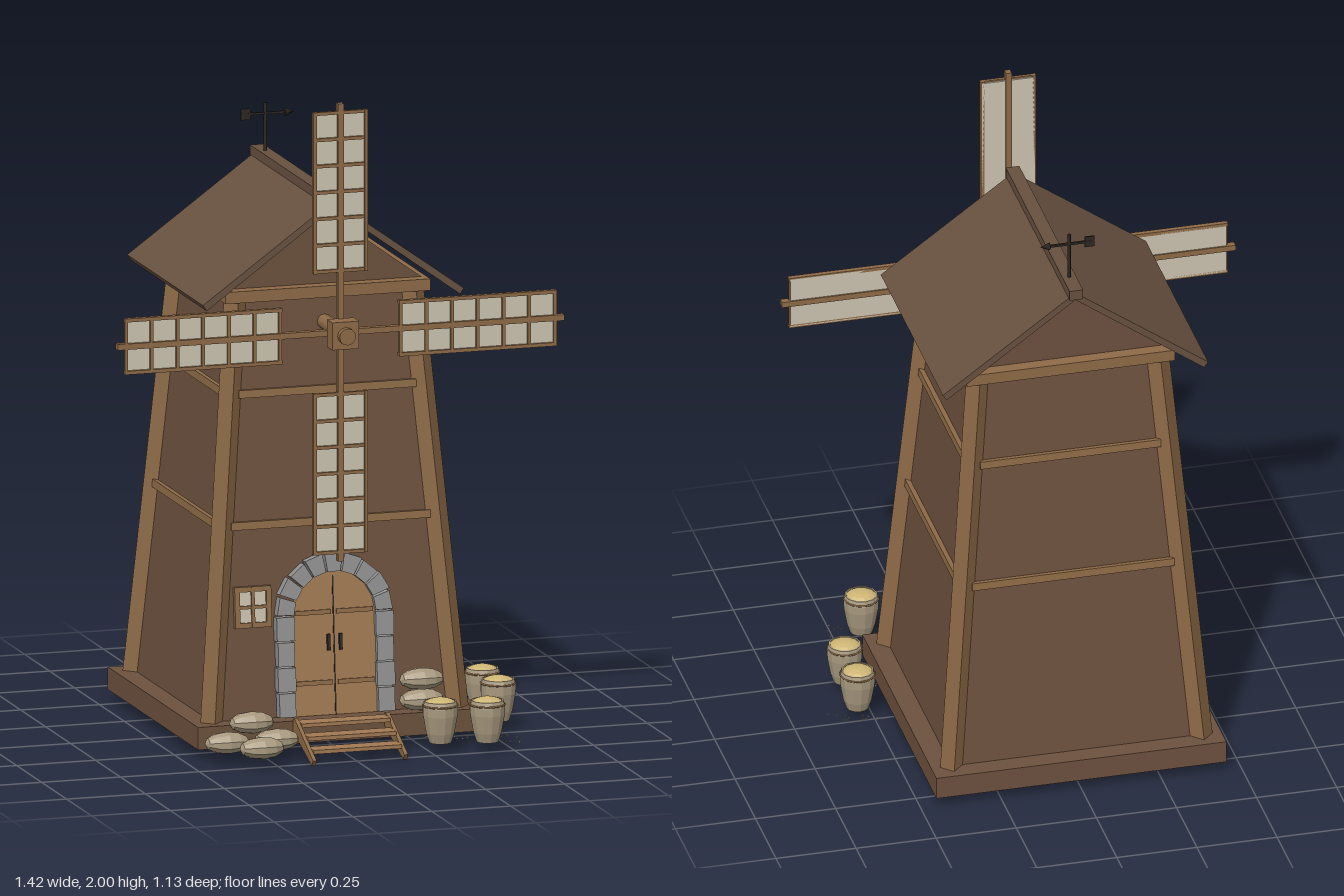
import * as THREE from 'three';

const mat = (name, color) => {
  const m = new THREE.MeshStandardMaterial({ color });
  m.name = name;
  return m;
};

export function createModel() {
  const wall = mat('wallBoards', 0x6d513e);
  const roofMat = mat('roofBoards', 0x685140);
  const timber = mat('timber', 0x8f6b47);
  const doorMat = mat('doorWood', 0xa27a53);
  const cloth = mat('sailCloth', 0xcdc5b2);
  const stone = mat('stone', 0x929292);
  const iron = mat('iron', 0x2c2722);
  const sackMat = mat('sackCloth', 0xa99a80);
  const grain = mat('grain', 0xcdb574);
  [sackMat, grain, stone].forEach(m => { m.flatShading = true; });

  const model = new THREE.Group();
  model.name = 'windmill';
  const add = (parent, name, geo, material, x = 0, y = 0, z = 0) => {
    const m = new THREE.Mesh(geo, material);
    m.name = name;
    m.position.set(x, y, z);
    parent.add(m);
    return m;
  };
  const box = (parent, name, material, w, h, d, x, y, z) =>
    add(parent, name, new THREE.BoxGeometry(w, h, d), material, x, y, z);
  const group = (parent, name, x = 0, y = 0, z = 0) => {
    const g = new THREE.Group();
    g.name = name;
    g.position.set(x, y, z);
    parent.add(g);
    return g;
  };
  const extrude = (shape, depth) =>
    new THREE.ExtrudeGeometry(shape, { depth, bevelEnabled: false, curveSegments: 16 });
  const polygon = pts => new THREE.Shape(pts.map(p => new THREE.Vector2(...p)));

  // Tower: tapered square body on a plinth
  const Y0 = 0.1, Y1 = 1.39, B = 0.39, T = 0.281;
  const half = y => B + (T - B) * (y - Y0) / (Y1 - Y0);
  const lean = Math.atan((B - T) / (Y1 - Y0));
  const tower = group(model, 'tower', 0, 0, -0.115);
  box(tower, 'plinth', wall, 0.905, 0.07, 0.905, 0, 0.065, 0);
  const bodyGeo = new THREE.CylinderGeometry(T * Math.SQRT2, B * Math.SQRT2, Y1 - Y0, 4)
    .rotateY(Math.PI / 4).toNonIndexed();
  bodyGeo.computeVertexNormals();
  add(tower, 'body', bodyGeo, wall, 0, (Y0 + Y1) / 2, 0);

  // Leaning corner posts with diamond section
  for (const sx of [-1, 1]) for (const sz of [-1, 1]) {
    const geo = new THREE.CylinderGeometry(0.035, 0.035, Y1 - Y0, 4).toNonIndexed();
    geo.computeVertexNormals();
    const p = geo.attributes.position;
    for (let i = 0; i < p.count; i++) {
      const h = half(p.getY(i) + (Y0 + Y1) / 2);
      p.setX(i, p.getX(i) + sx * h);
      p.setZ(i, p.getZ(i) + sz * h);
    }
    add(tower, 'cornerPost', geo, timber, 0, (Y0 + Y1) / 2, 0);
  }

  // Horizontal rails and top beams on all four sides
  for (let i = 0; i < 4; i++) {
    const side = group(tower, 'sideRails');
    side.rotation.y = i * Math.PI / 2;
    for (const y of [0.69, 1.09]) {
      const r = box(side, 'rail', timber, 2 * half(y) - 0.05, 0.024, 0.03, 0, y, half(y));
      r.rotation.x = -lean;
    }
    box(side, 'topBeam', timber, 0.65, 0.036, 0.05, 0, 1.393, 0.3);
  }

  // Gable block, roof and ridge
  add(tower, 'gable', extrude(polygon([[-0.31, 1.41], [0.31, 1.41], [0, 1.635]]), 0.57), wall, 0, 0, -0.285);
  const chevron = polygon([[0.402, 1.37], [0.414, 1.388], [0, 1.686], [-0.414, 1.388], [-0.402, 1.37], [0, 1.662]]);
  add(tower, 'roof', extrude(chevron, 0.76), roofMat, 0, 0, -0.38);
  box(tower, 'ridgeBeam', roofMat, 0.042, 0.032, 0.78, 0, 1.684, 0);

  // Weather vane
  const vane = group(model, 'weatherVane', 0, 0, -0.418);
  add(vane, 'pole', new THREE.CylinderGeometry(0.005, 0.005, 0.16, 8), iron, 0, 1.768, 0);
  box(vane, 'arm', iron, 0.14, 0.007, 0.007, 0, 1.815, 0);
  box(vane, 'tail', iron, 0.03, 0.035, 0.005, -0.063, 1.815, 0);
  add(vane, 'arrowHead', new THREE.ConeGeometry(0.014, 0.03, 4).rotateZ(-Math.PI / 2), iron, 0.076, 1.815, 0);

  // Wind shaft and hub
  const rotor = group(model, 'rotor', 0, 1.293, 0.33);
  const rod = (r, l) => new THREE.CylinderGeometry(r, r, l, 12).rotateX(Math.PI / 2);
  add(rotor, 'shaft', rod(0.023, 0.2), timber, 0, 0, -0.09);
  box(rotor, 'hub', timber, 0.085, 0.085, 0.055, 0, 0, 0.031);
  add(rotor, 'hubCap', rod(0.026, 0.022), timber, 0, 0, 0.068);

  // Four lattice sails
  for (let i = 0; i < 4; i++) {
    const sail = group(rotor, 'sail');
    sail.rotation.z = i * Math.PI / 2;
    box(sail, 'spar', timber, 0.018, 0.708, 0.022, 0, 0.354, 0);
    box(sail, 'cloth', cloth, 0.164, 0.49, 0.006, 0, 0.435, -0.003);
    for (const x of [-0.081, 0, 0.081])
      box(sail, 'longBar', timber, 0.011, 0.5, 0.016, x, 0.435, 0.002);
    for (let k = 0; k < 7; k++)
      box(sail, 'crossBar', timber, 0.172, 0.01, 0.01, 0, 0.191 + k * 0.0815, 0.004);
  }

  // Front wall group leaning with the tower
  const front = group(model, 'frontWall', 0, Y0, -0.115 + B);
  front.rotation.x = -lean;
  const door = group(front, 'door');
  const leaf = new THREE.Shape();
  leaf.moveTo(-0.133, 0);
  leaf.lineTo(0.133, 0);
  leaf.lineTo(0.133, 0.31);
  leaf.absarc(0, 0.31, 0.133, 0, Math.PI, false);
  add(door, 'doorLeaf', extrude(leaf, 0.025), doorMat, 0, 0, -0.01);
  box(door, 'doorGap', iron, 0.004, 0.425, 0.004, 0, 0.2125, 0.015);
  for (const s of [-1, 1]) {
    box(door, 'handle', iron, 0.009, 0.05, 0.012, s * 0.019, 0.222, 0.02);
    for (const y of [0.1, 0.315]) box(door, 'doorStrap', timber, 0.115, 0.014, 0.007, s * 0.066, y, 0.017);
  }

  // Stone surround: jamb blocks and arch wedges
  for (const s of [-1, 1]) for (let k = 0; k < 4; k++)
    box(door, 'jambStone', stone, 0.052 + (k % 2) * 0.005, 0.073, 0.05, s * 0.157, 0.0385 + k * 0.0775, 0.008);
  for (let k = 0; k < 9; k++) {
    const a = k * Math.PI / 9 + 0.02, b = (k + 1) * Math.PI / 9 - 0.02;
    const R = 0.183 + (k % 2) * 0.004;
    const c = (r, t) => [r * Math.cos(t), 0.31 + r * Math.sin(t)];
    add(door, 'archStone', extrude(polygon([c(0.13, a), c(R, a), c(R, b), c(0.13, b)]), 0.05), stone, 0, 0, -0.017);
  }

  // Small window
  const win = group(front, 'window', -0.253, 0.343, 0);
  box(win, 'windowPanes', cloth, 0.1, 0.11, 0.008, 0, 0, 0.004);
  for (const k of [-1, 0, 1]) {
    box(win, 'windowUpright', timber, k ? 0.016 : 0.01, 0.126, 0.024, k * 0.05, 0, 0.004);
    box(win, 'windowCrossbar', timber, 0.116, k ? 0.016 : 0.01, 0.022, 0, k * 0.055, 0.004);
  }

  // Steps with slanted stringers
  const steps = group(model, 'steps');
  const stringer = polygon([[0.335, 0.108], [0.355, 0.108], [0.537, 0.018], [0.525, 0.0], [0.335, 0.068]]);
  for (const s of [-1, 1])
    add(steps, 'stringer', extrude(stringer, 0.012).rotateY(-Math.PI / 2), timber, s * 0.145 + 0.006, 0, 0);
  for (let k = 0; k < 3; k++)
    box(steps, 'tread', doorMat, 0.28, 0.012, 0.058, 0, 0.096 - k * 0.029, 0.365 + k * 0.058);

  // Lying sacks
  const sackGeo = new THREE.SphereGeometry(1, 10, 6).rotateZ(Math.PI / 2).scale(0.07, 0.034, 0.049);
  for (const [x, y, z] of [[-0.385, 0.064, 0.415], [-0.228, 0.064, 0.415], [-0.307, 0.064, 0.517],
    [-0.307, 0.122, 0.415], [0.265, 0.134, 0.31], [0.265, 0.198, 0.31]])
    add(model, 'lyingSack', sackGeo, sackMat, x, y, z);

  // Open grain sacks and spilled grains
  let seed = 7;
  const rand = () => (seed = (seed * 16807) % 2147483647) / 2147483647;
  const potGeo = new THREE.LatheGeometry([[0, 0], [0.034, 0], [0.044, 0.03], [0.054, 0.085], [0.055, 0.11],
    [0.05, 0.128], [0.045, 0.128], [0.045, 0.115]].map(p => new THREE.Vector2(...p)), 12);
  const domeGeo = new THREE.SphereGeometry(0.048, 12, 4, 0, Math.PI * 2, 0, Math.PI / 2).scale(1, 0.4, 1);
  const speckGeo = new THREE.TetrahedronGeometry(0.0035);
  for (const [x, z, a] of [[0.545, 0.035, 1.2], [0.543, 0.2, 2.2], [0.28, 0.45, 1.0], [0.42, 0.48, 0.4]]) {
    const g = group(model, 'grainSack', x, 0.03, z);
    add(g, 'sackBody', potGeo, sackMat);
    add(g, 'grainHeap', domeGeo, grain, 0, 0.119, 0);
    add(g, 'sackTie', new THREE.TorusGeometry(0.053, 0.003, 5, 16).rotateX(Math.PI / 2), timber, 0, 0.115, 0);
    for (let k = 0; k < 16; k++) {
      const t = a + (rand() - 0.5) * 1.9, r = 0.06 + rand() * 0.045;
      add(g, 'spilledGrain', speckGeo, grain, r * Math.cos(t), 0.002, -r * Math.sin(t));
    }
  }
  return model;
}
